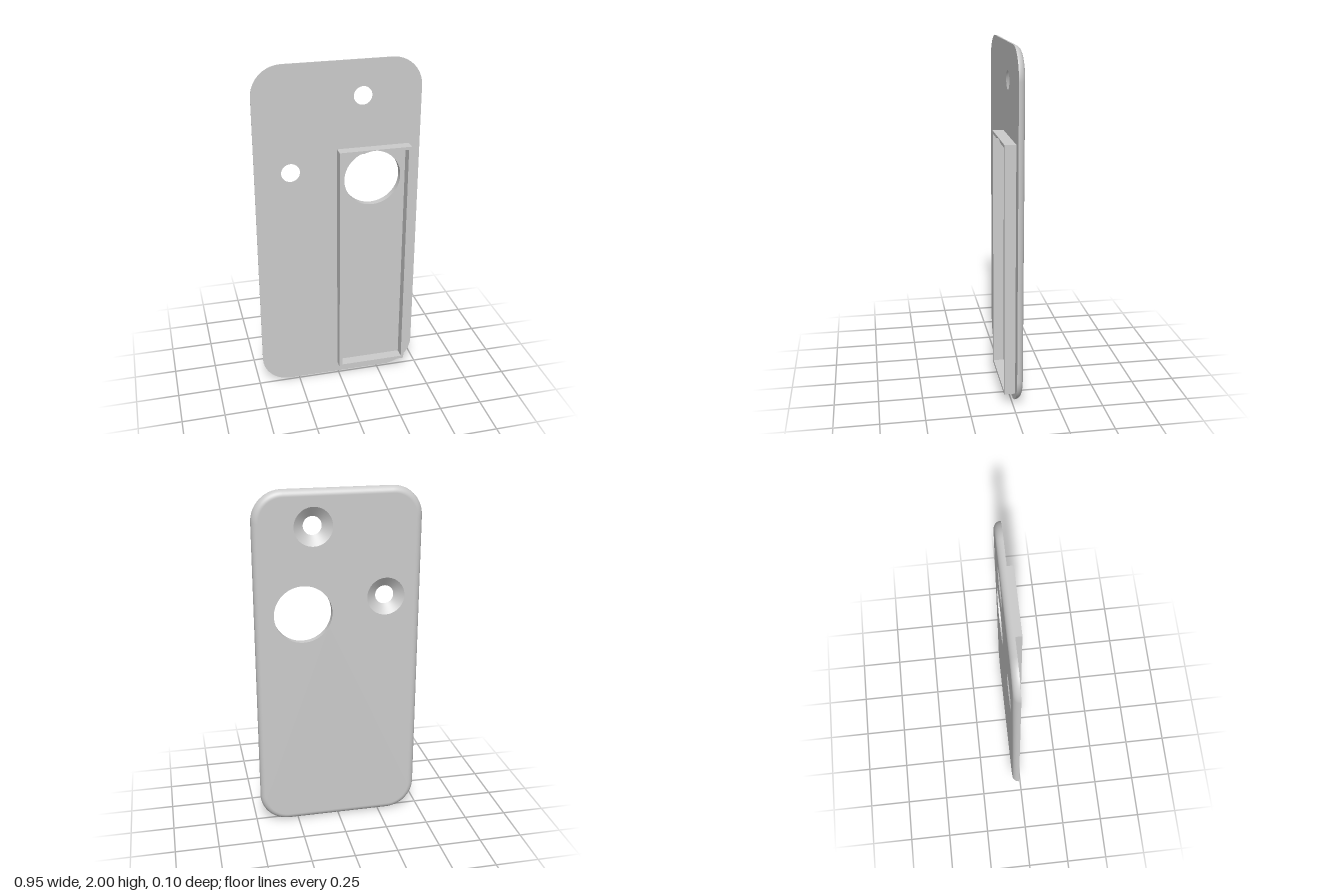
import * as THREE from 'three';

const W = 0.474, H = 1, R = 0.17;        // plate half width, half height, corner radius
const FRONT = -0.012, BACK = -0.05;      // plate faces in z
const FILLET = FRONT - BACK;             // rounded back edge
const CORNER_STEPS = 16;

// x, y, radius at the front face, radius at the back face
const holes = [
  { name: 'largeHole', x: 0.202, y: 1.307, front: 0.165, back: 0.165 },
  { name: 'upperScrewHole', x: 0.14, y: 1.798, front: 0.052, back: 0.108 },
  { name: 'sideScrewHole', x: -0.27, y: 1.385, front: 0.053, back: 0.108 },
];

// Rounded outline, counter-clockwise, with the outward direction at each point
function outline(inset) {
  const pts = [];
  [[1, 1], [-1, 1], [-1, -1], [1, -1]].forEach(([sx, sy], q) => {
    for (let i = 0; i <= CORNER_STEPS; i++) {
      const a = (q + i / CORNER_STEPS) * Math.PI / 2;
      const nx = Math.cos(a), ny = Math.sin(a);
      pts.push({ x: sx * (W - R) + nx * (R - inset), y: H + sy * (H - R) + ny * (R - inset), nx, ny });
    }
  });
  return pts;
}

// Flat face with holes; side = 1 faces +z, side = -1 faces -z
function faceGeometry(inset, z, side) {
  const shape = new THREE.Shape(outline(inset).map(p => new THREE.Vector2(p.x, p.y)));
  for (const h of holes) {
    const r = side > 0 ? h.front : h.back;
    shape.holes.push(new THREE.Path().absarc(h.x * side, h.y, r, 0, Math.PI * 2, true));
  }
  const geo = new THREE.ShapeGeometry(shape, 32);
  if (side < 0) geo.rotateY(Math.PI);
  return geo.translate(0, 0, z);
}

// Quarter-round edge swept around the outline
function edgeGeometry() {
  const steps = 10, pos = [], nor = [], idx = [];
  const n = outline(0).length;
  for (let j = 0; j <= steps; j++) {
    const t = j / steps * Math.PI / 2, c = Math.cos(t), s = Math.sin(t);
    for (const p of outline(FILLET * (1 - c))) {
      pos.push(p.x, p.y, FRONT - FILLET * s);
      nor.push(p.nx * c, p.ny * c, -s);
    }
  }
  for (let j = 0; j < steps; j++) {
    for (let i = 0; i < n; i++) {
      const a = j * n + i, b = j * n + (i + 1) % n;
      idx.push(a, a + n, b, b, a + n, b + n);
    }
  }
  const geo = new THREE.BufferGeometry();
  geo.setAttribute('position', new THREE.Float32BufferAttribute(pos, 3));
  geo.setAttribute('normal', new THREE.Float32BufferAttribute(nor, 3));
  geo.setIndex(idx);
  return geo;
}

// Raised rectangular rim, its top wall relieved by an arc around the large hole
function rimGeometry() {
  const x0 = -0.005, x1 = 0.41, y0 = 0.07, y1 = 1.5, t = 0.017;
  const { x, y } = holes[0], r = 0.189;
  const shape = new THREE.Shape();
  shape.moveTo(x0, y0).lineTo(x1, y0).lineTo(x1, y1).lineTo(x0, y1).closePath();
  const a = Math.asin((y1 - t - y) / r);
  const inner = new THREE.Path();
  inner.moveTo(x0 + t, y0 + t).lineTo(x0 + t, y1 - t);
  inner.absarc(x, y, r, Math.PI - a, a, true);
  inner.lineTo(x1 - t, y1 - t).lineTo(x1 - t, y0 + t).closePath();
  shape.holes.push(inner);
  const geo = new THREE.ExtrudeGeometry(shape, { depth: 0.05 - FRONT, bevelEnabled: false, curveSegments: 16 });
  return geo.translate(0, 0, FRONT);
}

export function createModel() {
  const model = new THREE.Group();
  model.name = 'coverPlate';
  const grey = new THREE.MeshStandardMaterial({ color: 0xcccccc });
  const greyDouble = new THREE.MeshStandardMaterial({ color: 0xcccccc, side: THREE.DoubleSide });
  const add = (name, geo, mat = grey) => {
    const mesh = new THREE.Mesh(geo, mat);
    mesh.name = name;
    model.add(mesh);
    return mesh;
  };

  // Plate
  add('plateFront', faceGeometry(0, FRONT, 1));
  add('plateBack', faceGeometry(FILLET, BACK, -1));
  add('plateEdge', edgeGeometry(), greyDouble);

  // Hole walls, conical for the countersunk screw holes
  for (const h of holes) {
    const wall = new THREE.CylinderGeometry(h.front, h.back, FILLET, 64, 1, true).rotateX(Math.PI / 2);
    add(h.name, wall, greyDouble).position.set(h.x, h.y, (FRONT + BACK) / 2);
  }

  // Rim on the front
  add('rim', rimGeometry());
  return model;
}
